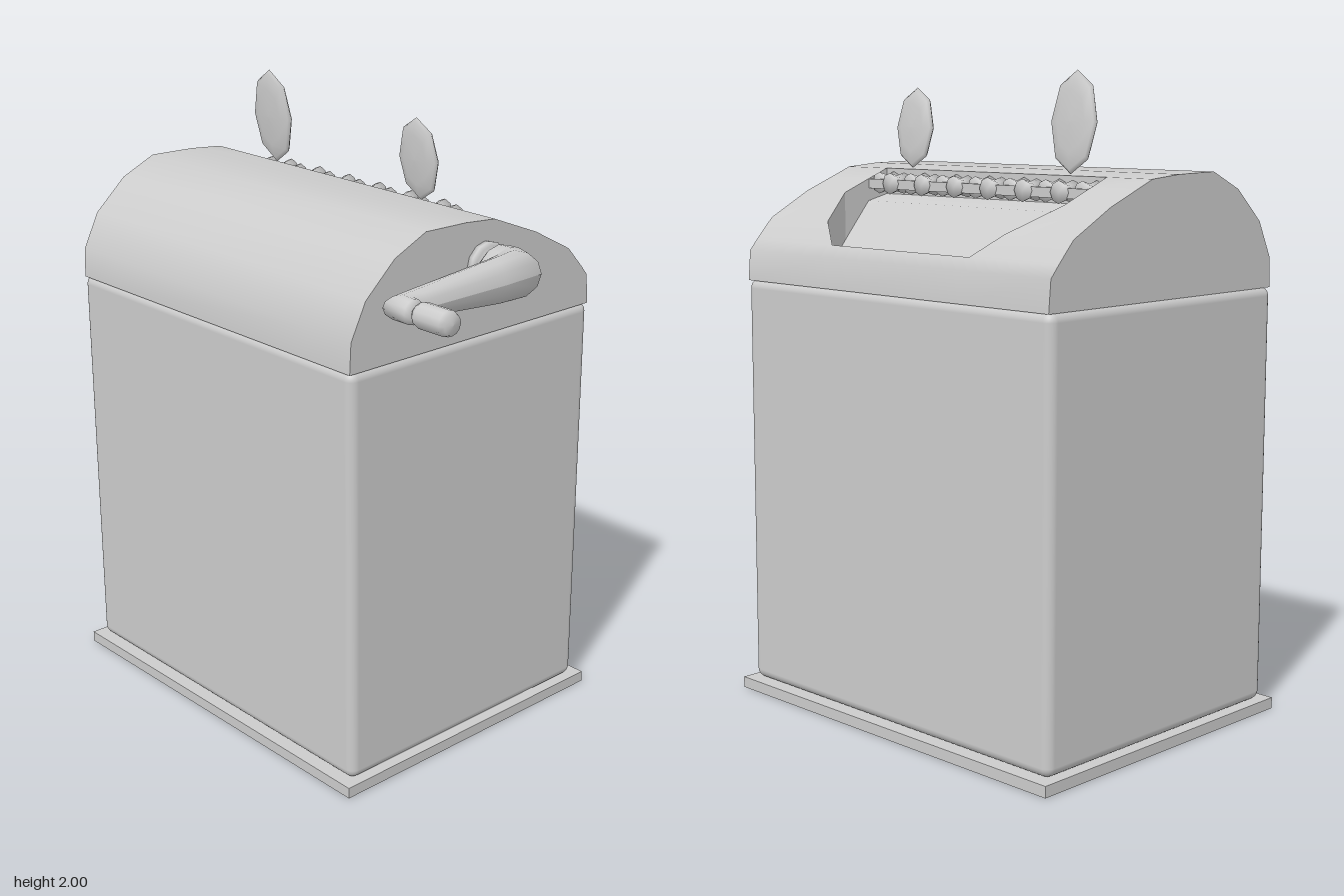
import * as THREE from 'three';
import { RoundedBoxGeometry } from 'three/addons/geometries/RoundedBoxGeometry.js';

const grey = new THREE.MeshStandardMaterial({ color: 0xcccccc });
const greyDouble = new THREE.MeshStandardMaterial({ color: 0xcccccc, side: THREE.DoubleSide });

function add(parent, name, geometry, x = 0, y = 0, z = 0, material = grey) {
  const mesh = new THREE.Mesh(geometry, material);
  mesh.name = name;
  mesh.position.set(x, y, z);
  parent.add(mesh);
  return mesh;
}

// Smooth surface through rows of equal length; skip(i, j) leaves a quad open
function sheet(rows, skip = () => false) {
  const n = rows[0].length, index = [];
  for (let i = 0; i < rows.length - 1; i++) {
    for (let j = 0; j < n - 1; j++) {
      if (skip(i, j)) continue;
      const a = i * n + j, d = a + n;
      index.push(a, a + 1, d + 1, a, d + 1, d);
    }
  }
  const g = new THREE.BufferGeometry();
  g.setAttribute('position', new THREE.Float32BufferAttribute(rows.flat(2), 3));
  g.setIndex(index);
  g.computeVertexNormals();
  return g;
}

// Turned part along z, from [radius, z] points
function turned(points, sides = 12) {
  return new THREE.LatheGeometry(points.map(p => new THREE.Vector2(...p)), sides).rotateX(Math.PI / 2);
}

// Lid profile [x, y]
const profile = [
  [-0.5, 1.345], [-0.495, 1.44], [-0.44, 1.55], [-0.33, 1.65], [-0.21, 1.705], [-0.05, 1.702],
  [0.07, 1.692], [0.15, 1.66], [0.25, 1.62], [0.4, 1.54], [0.46, 1.475], [0.49, 1.44], [0.498, 1.345],
];
const lidBack = -0.8, lidFront = 0.495;
// Opening columns 6..10 of the profile: [zBack, zFront, floorY]
const opening = [
  [-0.63, 0.31, 1.61], [-0.63, 0.31, 1.59], [-0.63, 0.31, 1.47], [-0.54, 0.22, 1.39], [-0.46, 0.13, 1.36],
];
const first = 6, last = 10;

function makeLid() {
  const lid = new THREE.Group();
  lid.name = 'lid';
  const rows = profile.map(([x, y], i) => {
    const [lo, hi] = opening[Math.min(Math.max(i - first, 0), last - first)];
    return [lidBack, lo, hi, lidFront].map(z => [x, y, z]);
  });
  add(lid, 'lidTop', sheet(rows, (i, j) => j === 1 && i >= first && i < last), 0, 0, 0, greyDouble);

  // End panels
  const shape = new THREE.Shape(profile.map(p => new THREE.Vector2(...p)));
  add(lid, 'lidFrontPanel', new THREE.ShapeGeometry(shape), 0, 0, lidFront, greyDouble);
  add(lid, 'lidBackPanel', new THREE.ShapeGeometry(shape), 0, 0, lidBack, greyDouble);

  // Sloping chute floor and the walls around the opening
  const floor = opening.map(([lo, hi, y], i) => [lo, hi].map(z => [profile[first + i][0], y, z]));
  add(lid, 'chuteFloor', sheet(floor), 0, 0, 0, greyDouble);
  const column = (i, side) => {
    const [x, y] = profile[first + i], z = opening[i][side];
    return [[x, y, z], [x, opening[i][2], z]];
  };
  const loop = [];
  for (let i = 0; i < opening.length; i++) loop.push(column(i, 0));
  for (let i = opening.length - 1; i >= 0; i--) loop.push(column(i, 1));
  loop.push(column(0, 0));
  const walls = sheet(loop).toNonIndexed();
  walls.computeVertexNormals();
  add(lid, 'chuteWalls', walls, 0, 0, 0, greyDouble);
  return lid;
}

// Row of waisted teeth, alternating from side to side
function makeTeeth() {
  const teeth = new THREE.Group();
  teeth.name = 'teeth';
  const count = 13, pitch = 0.94 / count;
  const spool = turned([[0, -0.031], [0.034, -0.031], [0.025, 0], [0.034, 0.031], [0, 0.031]], 8).rotateY(Math.PI / 2);
  for (let i = 0; i < count; i++) {
    add(teeth, 'tooth', spool, i % 2 ? 0.125 : 0.103, 1.648, -0.63 + pitch * (i + 0.5));
  }
  for (const x of [0.08, 0.142]) {
    add(teeth, 'toothRail', new THREE.BoxGeometry(0.012, 0.03, 0.94), x, 1.645, -0.16);
  }
  return teeth;
}

function makeCrank() {
  const crank = new THREE.Group();
  crank.name = 'crank';
  crank.position.y = 1.56;
  add(crank, 'hub', turned([[0, 0.48], [0.072, 0.48], [0.075, 0.512], [0.065, 0.522], [0.035, 0.525], [0.035, 0.545], [0, 0.545]]), 0.03);

  // Bent tapering arm: [x, z, width direction x, z, half width, half height]
  const stations = [
    [0.03, 0.537, 1, 0, 0.001, 0.001],
    [0.03, 0.537, 1, 0, 0.072, 0.062],
    [0.03, 0.55, 1, 0, 0.084, 0.074],
    [0.03, 0.59, 1, 0, 0.084, 0.075],
    [0.015, 0.622, 0.84, 0.55, 0.085, 0.075],
    [-0.07, 0.627, 0, 1, 0.05, 0.069],
    [-0.37, 0.627, 0, 1, 0.049, 0.04],
    [-0.43, 0.632, 0.7, 0.7, 0.055, 0.038],
    [-0.432, 0.678, 1, 0, 0.037, 0.037],
    [-0.432, 0.69, 1, 0, 0.027, 0.027],
    [-0.432, 0.69, 1, 0, 0.001, 0.001],
  ];
  const sides = 12;
  const rings = stations.map(([x, z, dx, dz, w, h]) => Array.from({ length: sides + 1 }, (_, j) => {
    const t = j / sides * Math.PI * 2, u = w * Math.cos(t);
    return [x + dx * u, h * Math.sin(t), z + dz * u];
  }));
  add(crank, 'crankArm', sheet(rings));
  add(crank, 'handle', turned([
    [0, 0.68], [0.02, 0.68], [0.02, 0.7], [0.033, 0.703], [0.038, 0.715],
    [0.038, 0.81], [0.031, 0.826], [0, 0.83],
  ]), -0.432);
  return crank;
}

// Thin oval paddle standing on the ridge, leaning slightly
function addPaddle(parent, z, height, halfWidth) {
  const g = turned([[0, -0.02], [0.6, -0.018], [0.92, -0.009], [1, 0], [0.92, 0.009], [0.6, 0.018], [0, 0.02]], 8);
  g.rotateY(Math.PI / 2).scale(1, height / 2, halfWidth);
  add(parent, 'paddle', g, 0.045, 1.695 + height / 2, z).rotation.z = 0.09;
}

export function createModel() {
  const model = new THREE.Group();
  model.name = 'crankBox';
  add(model, 'basePlate', new THREE.BoxGeometry(1.06, 0.035, 1.35), 0, 0.0175, -0.155);
  add(model, 'body', new RoundedBoxGeometry(1.0, 1.315, 1.31, 3, 0.03), 0, 0.6925, -0.155);
  model.add(makeLid(), makeTeeth(), makeCrank());
  addPaddle(model, 0.2, 0.255, 0.082);
  addPaddle(model, -0.48, 0.305, 0.09);
  return model;
}
